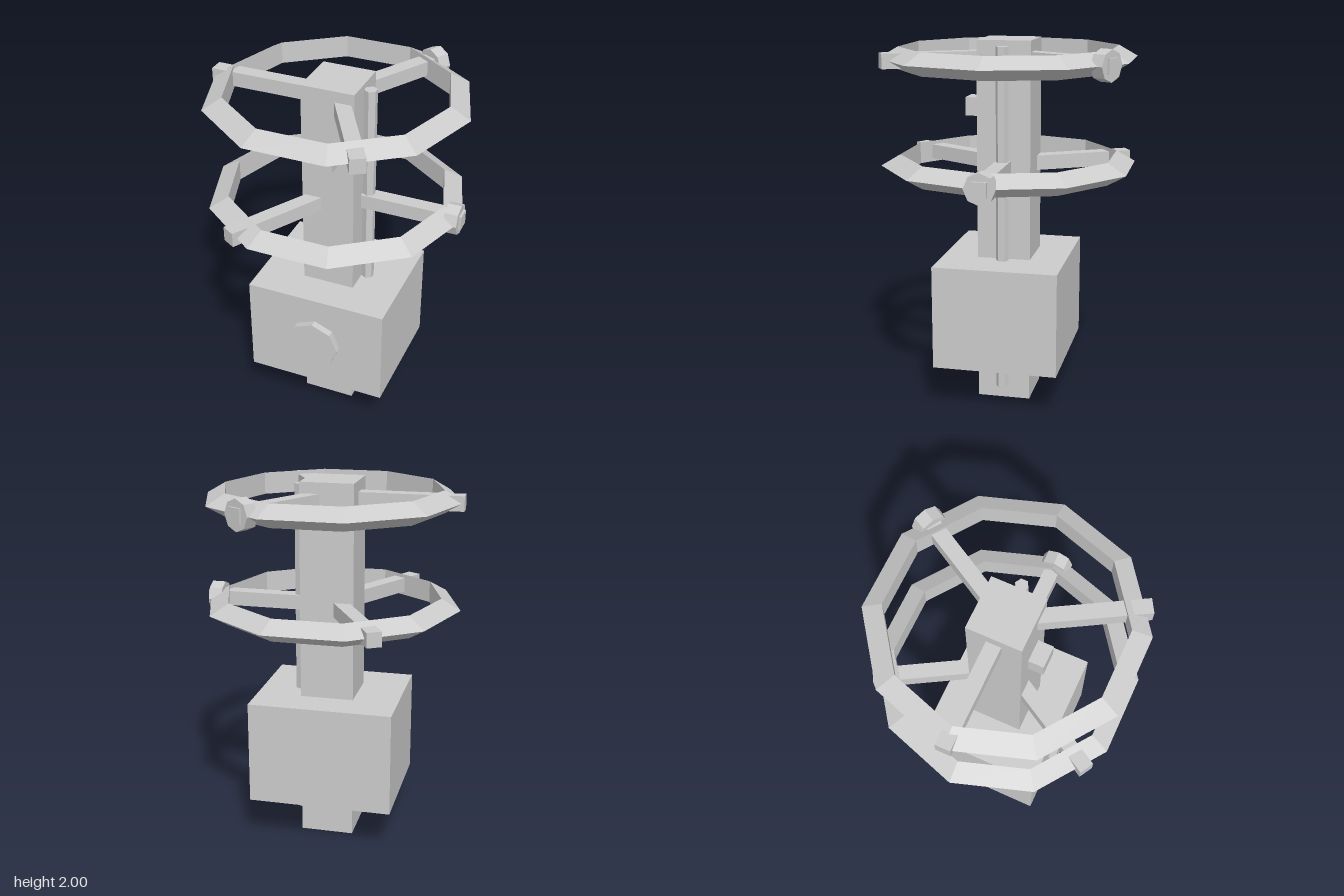
import * as THREE from 'three';

export function createModel() {
  const group = new THREE.Group();
  const grey = new THREE.MeshStandardMaterial({ color: 0xcccccc });
  grey.name = 'light grey';
  grey.flatShading = true;

  const add = (parent, name, geometry, x = 0, y = 0, z = 0) => {
    const mesh = new THREE.Mesh(geometry, grey);
    mesh.name = name;
    mesh.position.set(x, y, z);
    parent.add(mesh);
    return mesh;
  };

  // Post with the cabinet around its foot
  add(group, 'post', new THREE.BoxGeometry(0.292, 2, 0.292), 0, 1, 0);
  add(group, 'cabinet', new THREE.BoxGeometry(0.79, 0.57, 0.68), 0, 0.53, 0);

  // Octagonal dial on the front and a small block above
  const dial = new THREE.CylinderGeometry(0.147, 0.147, 0.04, 8).rotateX(Math.PI / 2);
  add(group, 'dial', dial, 0, 0.53, 0.36);
  add(group, 'frontBlock', new THREE.BoxGeometry(0.124, 0.1, 0.1), 0, 1.635, 0.18);

  // Hexagonal conduit along the left side
  add(group, 'conduit', new THREE.CylinderGeometry(0.035, 0.035, 1.89, 6), 0.177, 1.025, 0);

  // Ten-sided hoop with three spokes; one spoke carries an octagonal collar
  function addHoop(name, y, angles, collarAngle) {
    const hoop = new THREE.Group();
    hoop.name = name;
    hoop.position.y = y;
    group.add(hoop);
    add(hoop, 'rim', new THREE.TorusGeometry(0.63, 0.07, 3, 10).rotateX(Math.PI / 2));
    for (const degrees of angles) {
      const arm = new THREE.Group();
      arm.name = 'arm';
      arm.rotation.y = THREE.MathUtils.degToRad(degrees);
      hoop.add(arm);
      add(arm, 'spoke', new THREE.BoxGeometry(0.605, 0.08, 0.08), 0.4, 0, 0);
      if (degrees === collarAngle) {
        const collar = new THREE.CylinderGeometry(0.083, 0.083, 0.073, 8).rotateZ(Math.PI / 2);
        add(arm, 'collar', collar, 0.652, 0, 0);
      }
    }
  }
  addHoop('lowerHoop', 1.32, [0, 120, 240], 0);
  addHoop('upperHoop', 1.9, [60, 180, 300], 60);

  return group;
}
